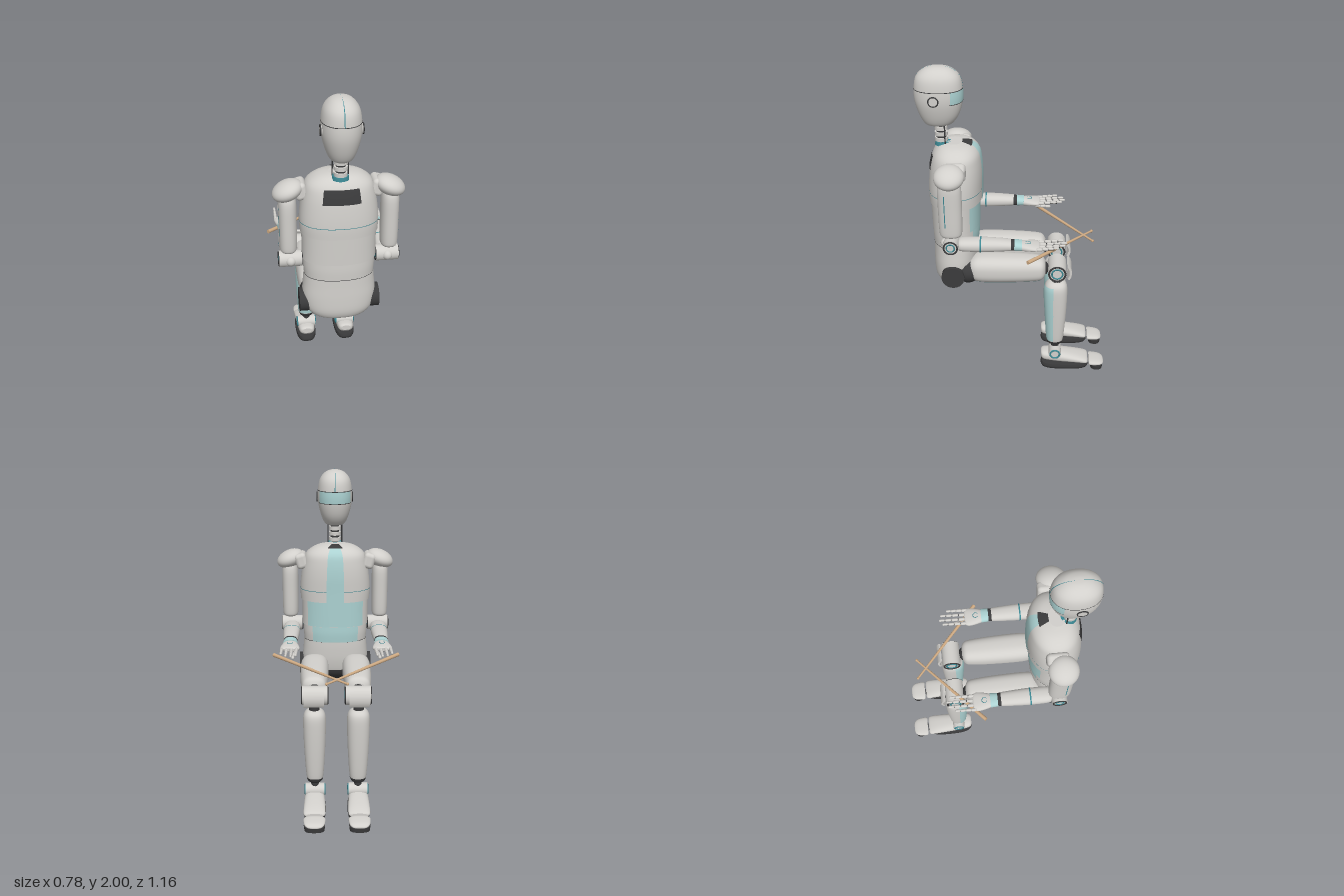
import * as THREE from 'three';
import { RoundedBoxGeometry } from 'three/addons/geometries/RoundedBoxGeometry.js';

const mat = (name, color) => {
  const m = new THREE.MeshStandardMaterial({ color });
  m.name = name;
  return m;
};
const PI = Math.PI;

export function createModel() {
  const shell = mat('warm grey shell', 0xd2d0cc);
  const dark = mat('dark rubber', 0x3b3b3c);
  const teal = mat('pale teal', 0xacd2d2);
  const seam = mat('deep teal seam', 0x3c8792);
  const wood = mat('stick wood', 0xcda982);
  const model = new THREE.Group();
  model.name = 'seatedRobot';

  const add = (name, geo, material, x = 0, y = 0, z = 0, parent = model) => {
    const m = new THREE.Mesh(geo, material);
    m.name = name;
    m.position.set(x, y, z);
    parent.add(m);
    return m;
  };

  // Smooth loft through superellipse rings [along, rx, rz, centreZ]; angle 0 is local -z.
  // u/v ranges cut out a patch of the same surface, lifted by "lift".
  const spline = (a, b, c, d, t) =>
    b + 0.5 * t * (c - a + t * (2 * a - 5 * b + 4 * c - d + t * (3 * (b - c) + d - a)));
  function loft(rings, { n = 2.3, u = null, v = null, lift = 0 } = {}) {
    const last = rings.length - 1, [v0, v1] = v || [0, last], [u0, u1] = u || [0, 2 * PI];
    const cols = u ? Math.max(2, Math.ceil((u1 - u0) * 8)) : 48;
    const rows = Math.max(1, Math.ceil((v1 - v0) * 4));
    const pos = [], idx = [], w = u ? cols + 1 : cols;
    const pw = (c) => Math.sign(c) * Math.abs(c) ** (2 / n);
    for (let i = 0; i <= rows; i++) {
      const f = v0 + ((v1 - v0) * i) / rows, k = Math.min(Math.floor(f), last - 1);
      const at = (j) => rings[Math.min(last, Math.max(0, j))];
      const [y, rx, rz, cz] = [0, 1, 2, 3].map((c) =>
        spline(at(k - 1)[c] || 0, at(k)[c] || 0, at(k + 1)[c] || 0, at(k + 2)[c] || 0, f - k));
      // lift along y too where the surface closes over an end
      const dy = lift * (f > last - 2.5 ? 0.8 : 0);
      for (let j = 0; j < w; j++) {
        const a = u0 + ((u1 - u0) * j) / cols;
        pos.push((rx + lift) * pw(Math.sin(a)), y + dy, cz - (rz + lift) * pw(Math.cos(a)));
      }
    }
    for (let i = 0; i < rows; i++)
      for (let j = 0; j < cols; j++) {
        const a = i * w + j, b = i * w + ((j + 1) % w), c = a + w, d = b + w;
        idx.push(a, c, b, b, c, d);
      }
    // flat end caps on whole lofts
    if (!u && !v)
      for (const i of [0, rows]) {
        const s = pos.length / 3, p = pos.slice(i * w * 3, (i + 1) * w * 3);
        pos.push(...p, 0, p[1], rings[i ? last : 0][3] || 0);
        for (let j = 0; j < w; j++) {
          const a = s + j, b = s + ((j + 1) % w);
          idx.push(...(i ? [a, s + w, b] : [a, b, s + w]));
        }
      }
    const g = new THREE.BufferGeometry();
    g.setAttribute('position', new THREE.Float32BufferAttribute(pos, 3));
    g.setIndex(idx);
    g.computeVertexNormals();
    return g;
  }
  const around = (c, h) => [c - h, c + h];
  const forward = (geo) => geo.rotateX(-PI / 2); // local y runs to -z, local z runs up
  const cylX = (r, len) => new THREE.CylinderGeometry(r, r, len, 32).rotateZ(PI / 2);
  const ringX = (r, t) => new THREE.TorusGeometry(r, t, 8, 32).rotateY(PI / 2);

  // Head
  const head = [[1.65, 0.04, 0.055, 0.45], [1.665, 0.066, 0.085, 0.445], [1.72, 0.09, 0.117, 0.44],
    [1.8, 0.108, 0.138, 0.44], [1.875, 0.108, 0.139, 0.44], [1.94, 0.095, 0.125, 0.44],
    [1.98, 0.064, 0.085, 0.44], [1.996, 0.03, 0.04, 0.44], [1.999, 0.003, 0.004, 0.44]];
  add('head', loft(head, { n: 2.2 }), shell);
  add('visor', loft(head, { n: 2.2, u: around(0, 1.05), v: [3, 4], lift: 0.002 }), teal);
  add('browSeam', loft(head, { n: 2.2, v: [3.97, 4.03], lift: 0.0025 }), dark);
  add('cheekSeam', loft(head, { n: 2.2, u: around(0, 1.1), v: [2.97, 3.02], lift: 0.0025 }), dark);
  for (const c of [0, PI])
    add('crownSeam', loft(head, { n: 2.2, u: around(c, 0.016), v: [4, 8], lift: 0.002 }), seam);
  for (const s of [1, -1]) {
    add('ear', cylX(0.03, 0.016), shell, s * 0.107, 1.825, 0.46);
    add('earRing', ringX(0.028, 0.004), dark, s * 0.113, 1.825, 0.46);
  }

  // Neck
  add('neckCore', new THREE.CylinderGeometry(0.026, 0.03, 0.16, 24), dark, 0, 1.6, 0.435);
  for (const y of [1.56, 1.595, 1.63])
    add('neckRing', new THREE.CylinderGeometry(0.038, 0.038, 0.022, 24), shell, 0, y, 0.435);
  add('neckCollar', new THREE.CylinderGeometry(0.045, 0.05, 0.02, 24), seam, 0, 1.535, 0.425);
  for (const s of [1, -1])
    add('neckRod', new THREE.CylinderGeometry(0.004, 0.004, 0.12, 8), dark, s * 0.044, 1.6, 0.41);

  // Chest
  const chest = [[1.19, 0.222, 0.159, 0.36], [1.26, 0.225, 0.16, 0.36], [1.35, 0.217, 0.158, 0.356],
    [1.43, 0.203, 0.15, 0.353], [1.49, 0.182, 0.133, 0.35], [1.53, 0.125, 0.095, 0.352],
    [1.545, 0.06, 0.045, 0.36]];
  add('chest', loft(chest), shell);
  add('chestStripe', loft(chest, { u: around(0, 0.2), v: [0, 5], lift: 0.003 }), teal);
  add('throatPlate', loft(chest, { u: around(0, 0.32), v: [5, 6], lift: 0.003 }), dark);
  add('chestSeam', loft(chest, { v: [0.98, 1.02], lift: 0.002 }), seam);
  add('backPlate', loft(chest, { u: around(PI, 0.47), v: [2.62, 3.83], lift: 0.004 }), dark);

  // Abdomen and waist
  const belly = [[1.02, 0.214, 0.144, 0.365], [1.1, 0.213, 0.145, 0.365], [1.2, 0.214, 0.146, 0.365]];
  const waist = [[0.915, 0.203, 0.138, 0.367], [0.97, 0.207, 0.141, 0.366], [1.022, 0.207, 0.14, 0.366]];
  add('abdomen', loft(belly), shell);
  add('abdomenPanel', loft(belly, { u: around(0, 0.92), v: [0, 2], lift: 0.003 }), teal);
  add('waist', loft(waist), shell);
  add('waistPanel', loft(waist, { u: around(0, 0.72), v: [0, 2], lift: 0.003 }), teal);
  add('waistSeam', loft(waist, { v: [0, 0.1], lift: 0.002 }), dark);

  // Pelvis
  const pelvis = [[0.638, 0.13, 0.075, 0.395], [0.655, 0.165, 0.1, 0.39], [0.7, 0.2, 0.125, 0.38],
    [0.78, 0.214, 0.135, 0.372], [0.86, 0.209, 0.137, 0.368], [0.915, 0.204, 0.137, 0.367]];
  add('pelvis', loft(pelvis), shell);
  add('pelvisUnderside', loft([[0.634, 0.125, 0.07, 0.395], [0.64, 0.13, 0.075, 0.395]]), dark);
  add('pelvisFrontPad', loft(pelvis, { u: around(0, 1.25), v: [0, 2.3], lift: 0.003 }), dark);

  // Limb profiles
  const upperArm = [[1.065, 0.03, 0.04], [1.075, 0.045, 0.06], [1.11, 0.05, 0.067], [1.25, 0.051, 0.069],
    [1.38, 0.05, 0.067], [1.43, 0.035, 0.045]];
  const forearm = [[-0.33, 0.035, 0.026], [-0.31, 0.05, 0.037], [-0.2, 0.052, 0.04], [-0.1, 0.048, 0.037],
    [-0.02, 0.043, 0.031]];
  const palm = [[0.04, 0.042, 0.024], [0.08, 0.053, 0.022], [0.12, 0.059, 0.018], [0.143, 0.052, 0.014],
    [0.15, 0.035, 0.009]];
  const thigh = [[-0.28, 0.05, 0.05], [-0.26, 0.076, 0.07], [-0.2, 0.09, 0.086], [0, 0.087, 0.084],
    [0.13, 0.078, 0.077], [0.17, 0.067, 0.065], [0.187, 0.04, 0.04]];
  const shin = [[0.18, 0.03, 0.034, -0.258], [0.195, 0.045, 0.046, -0.258], [0.24, 0.054, 0.055, -0.258],
    [0.4, 0.064, 0.066, -0.258], [0.55, 0.069, 0.073, -0.256], [0.62, 0.066, 0.07, -0.256],
    [0.65, 0.05, 0.053, -0.258], [0.66, 0.03, 0.03, -0.26]];
  const foot = [[0.17, 0.03, 0.018, 0.095], [0.19, 0.05, 0.032, 0.09], [0.28, 0.06, 0.037, 0.084],
    [0.4, 0.066, 0.027, 0.072], [0.462, 0.065, 0.018, 0.062], [0.475, 0.05, 0.012, 0.058]];
  const toes = [[0.484, 0.06, 0.017, 0.046], [0.5, 0.066, 0.018, 0.046], [0.55, 0.06, 0.015, 0.042],
    [0.574, 0.042, 0.009, 0.038], [0.58, 0.02, 0.004, 0.036]];
  const kneeArc = new THREE.Shape();
  kneeArc.absarc(0, 0, 0.09, -0.55, 0.65, false);
  kneeArc.absarc(0, 0, 0.076, 0.65, -0.55, true);

  for (const s of [1, -1]) {
    const side = s > 0 ? 'left' : 'right';
    const arm = new THREE.Group(), leg = new THREE.Group();
    arm.name = side + 'Arm';
    leg.name = side + 'Leg';
    model.add(arm, leg);
    const A = (name, g, m, x, y, z) => add(name, g, m, s * x, y, z, arm);
    const L = (name, g, m, x, y, z) => add(name, g, m, s * x, y, z, leg);

    // Shoulder and upper arm
    A('shoulderBracket', new RoundedBoxGeometry(0.075, 0.1, 0.13, 3, 0.025), shell, 0.215, 1.44, 0.345)
      .rotation.z = -s * 0.3;
    const cap = A('shoulderCap', new THREE.SphereGeometry(1, 32, 20), shell, 0.287, 1.445, 0.37);
    cap.scale.set(0.09, 0.055, 0.088);
    cap.rotation.z = -s * 0.4;
    A('upperArm', loft(upperArm), shell, 0.29, 0, 0.37);
    A('armSeam', loft(upperArm, { u: around(s * (PI / 2 + 0.35), 0.04), v: [2.3, 3.7], lift: 0.002 }),
      seam, 0.29, 0, 0.37);

    // Elbow
    A('elbow', cylX(0.048, 0.13), shell, 0.28, 1.012, 0.372);
    for (const e of [0.215, 0.345]) {
      A('elbowRing', ringX(0.04, 0.005), dark, e, 1.012, 0.372);
      A('elbowHub', ringX(0.024, 0.004), seam, e, 1.012, 0.372);
    }
    A('elbowKnob', new THREE.SphereGeometry(0.03, 20, 14), shell, 0.28, 1.012, 0.405);

    // Forearm, wrist and hand
    A('forearm', forward(loft(forearm)), shell, 0.28, 1.005, 0);
    A('forearmRing', forward(loft(forearm, { v: [1.96, 2.04], lift: 0.002 })), seam, 0.28, 1.005, 0);
    A('wrist', forward(loft([[-0.025, 0.042, 0.03], [0.002, 0.04, 0.028]])), dark, 0.28, 1.004, 0);
    A('cuff', forward(loft([[0, 0.042, 0.03], [0.045, 0.045, 0.026]])), teal, 0.28, 1.003, 0);
    A('palm', forward(loft(palm)), shell, 0.28, 1, 0);
    A('palmRing', new THREE.TorusGeometry(0.016, 0.002, 6, 24).rotateX(PI / 2), seam, 0.28, 1.021, -0.08);
    [[0.24, -0.135, 0.155], [0.269, -0.145, 0.165], [0.299, -0.143, 0.157], [0.328, -0.128, 0.132]]
      .forEach(([x, z, len]) => {
        [0.14, 0.4, 0.65, 0.89].forEach((f, i) => {
          const seg = new THREE.CapsuleGeometry(0.0105 - i * 0.001, len * 0.14, 4, 10).rotateX(PI / 2);
          A('finger', seg, shell, x, 1 + f * 0.015, z - f * len);
        });
        A('knuckles', new THREE.CylinderGeometry(0.005, 0.005, len * 0.8, 8).rotateX(PI / 2),
          dark, x, 1.005, z - len * 0.4);
      });
    for (const f of [0, 1, 2])
      A('thumb', new THREE.CapsuleGeometry(0.012 - f * 0.001, 0.018, 4, 10).rotateX(PI / 2),
        shell, 0.248 + f * 0.006, 0.982 - f * 0.006, -0.135 - f * 0.032);

    // Hip and thigh
    L('hipDisc', cylX(0.07, 0.06), dark, 0.205, 0.73, 0.378);
    L('hipBall', new THREE.SphereGeometry(0.078, 24, 16), dark, 0.145, 0.735, 0.29);
    L('thigh', forward(loft(thigh, { n: 2.6 })), shell, 0.135, 0.755, 0);
    L('thighPanel', forward(loft(thigh, { n: 2.6, u: around(0, 0.85), v: [1.6, 4.5], lift: 0.003 })),
      teal, 0.135, 0.755, 0);
    L('thighEnd', new THREE.SphereGeometry(0.05, 20, 14), dark, 0.132, 0.75, -0.16);

    // Knee
    L('knee', cylX(0.058, 0.15), shell, 0.13, 0.75, -0.26);
    for (const e of [0.055, 0.205]) {
      L('kneeRing', ringX(0.05, 0.006), dark, e, 0.75, -0.26);
      L('kneeHub', ringX(0.033, 0.005), seam, e, 0.75, -0.26);
    }
    const cover = new THREE.ExtrudeGeometry(kneeArc, { depth: 0.12, bevelEnabled: false, curveSegments: 16 });
    L('kneeCap', cover.translate(0, 0, -0.06).rotateY(PI / 2), shell, 0.135, 0.75, -0.26);
    L('kneeLink', new THREE.CylinderGeometry(0.032, 0.032, 0.08, 20), dark, 0.133, 0.675, -0.26);

    // Shin
    L('shin', loft(shin), shell, 0.133, 0, 0);
    L('calfPanel', loft(shin, { u: around(PI, 1.4), v: [1.7, 5.3], lift: 0.003 }), teal, 0.133, 0, 0);
    L('shinCuff', loft(shin, { v: [0, 1.6], lift: 0.002 }), dark, 0.133, 0, 0);

    // Ankle and foot
    L('ankle', cylX(0.04, 0.118), shell, 0.133, 0.12, -0.26);
    for (const e of [0.074, 0.192]) L('ankleRing', ringX(0.03, 0.006), seam, e, 0.12, -0.26);
    L('anklePost', new THREE.CylinderGeometry(0.024, 0.024, 0.06, 16), dark, 0.133, 0.17, -0.26);
    L('foot', forward(loft(foot, { n: 2.5 })), shell, 0.135, 0, 0);
    L('toes', forward(loft(toes, { n: 2.5 })), shell, 0.135, 0, 0);
    L('sole', loft([[0.005, 0.062, 0.15, -0.325], [0.02, 0.068, 0.156, -0.325], [0.04, 0.066, 0.152, -0.325]],
      { n: 3 }), dark, 0.135, 0, 0);
    L('toeSole', loft([[0, 0.06, 0.04, -0.535], [0.03, 0.064, 0.043, -0.535]], { n: 2.6 }), dark, 0.135, 0, 0);

    // Crossed sticks
    const from = new THREE.Vector3(s * 0.38, 0.944, -0.08), to = new THREE.Vector3(-s * 0.06, 0.907, -0.475);
    const dir = to.clone().sub(from), mid = from.clone().add(to).multiplyScalar(0.5);
    const stick = add(side + 'Stick', new THREE.CylinderGeometry(0.006, 0.0115, dir.length(), 16), wood,
      mid.x, mid.y, mid.z);
    stick.quaternion.setFromUnitVectors(new THREE.Vector3(0, 1, 0), dir.normalize());
    add('stickTip', new THREE.SphereGeometry(0.009, 12, 8), wood, to.x, to.y, to.z);
  }
  return model;
}
